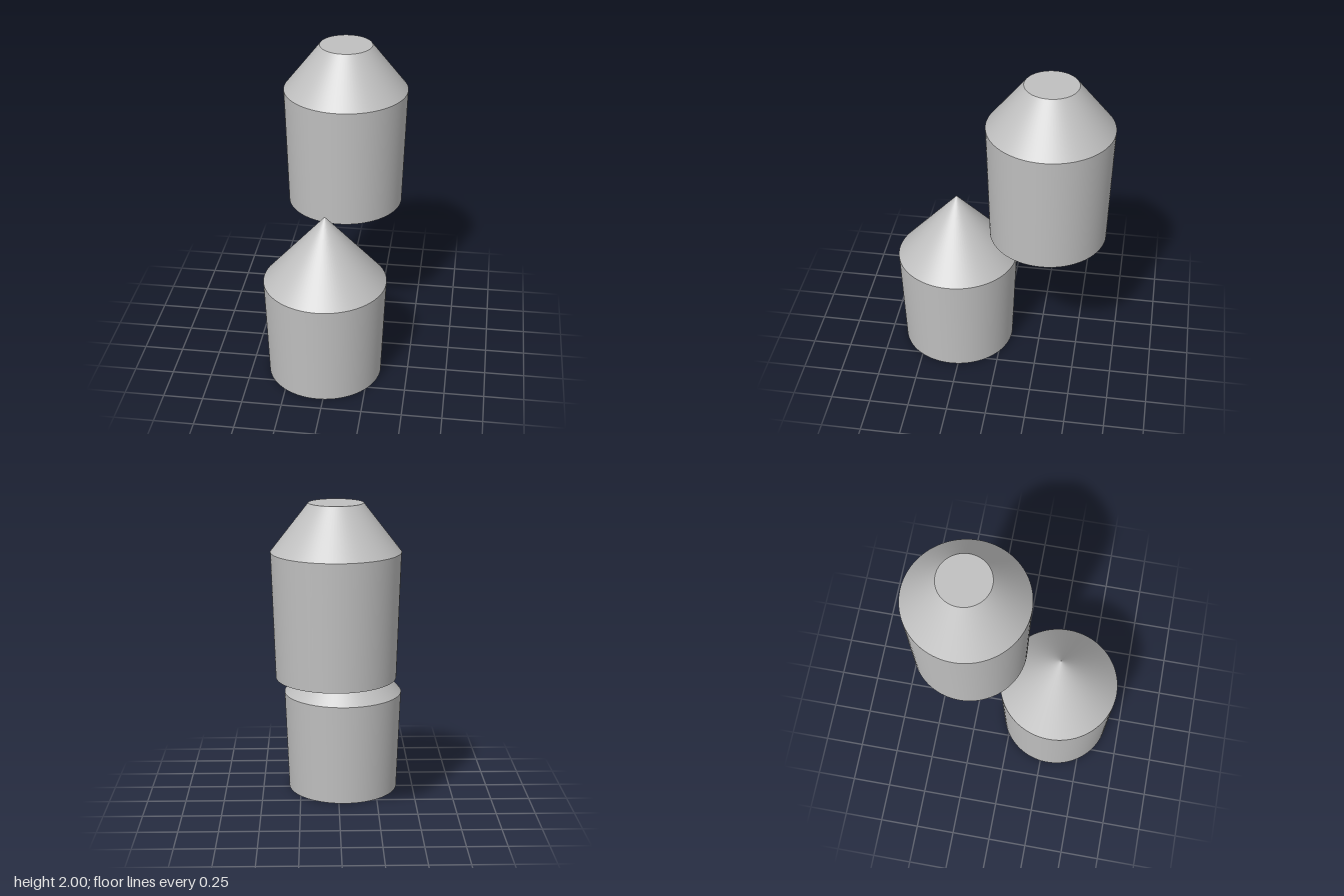
import * as THREE from 'three';

const SEGMENTS = 96;

// Tapered drum with a conical roof; a roof radius of 0 gives a pointed tip
function makeCanister(name, material, { x, z, base, shoulder, top, baseR, shoulderR, topR }) {
  const group = new THREE.Group();
  group.name = name;
  group.position.set(x, 0, z);

  // A section from y0 to y1 with one flat end cap, so no hidden faces remain inside
  const addSection = (part, r0, r1, y0, y1, capY, capR, facing) => {
    const side = new THREE.Mesh(
      new THREE.CylinderGeometry(r1, r0, y1 - y0, SEGMENTS, 1, true), material);
    side.name = part;
    side.position.y = (y0 + y1) / 2;
    group.add(side);
    if (capR > 0) {
      const cap = new THREE.Mesh(new THREE.CircleGeometry(capR, SEGMENTS), material);
      cap.name = part + 'Cap';
      cap.rotation.x = -facing * Math.PI / 2;
      cap.position.y = capY;
      group.add(cap);
    }
  };

  addSection('body', baseR, shoulderR, base, shoulder, base, baseR, -1);
  addSection('roof', shoulderR, topR, shoulder, top, top, topR, 1);
  return group;
}

export function createModel() {
  const model = new THREE.Group();
  model.name = 'canisters';
  const grey = new THREE.MeshStandardMaterial({ color: 0xc0c0c0 });
  grey.name = 'light grey';

  // Lower front piece with a sharp tip
  model.add(makeCanister('pointedCanister', grey, {
    x: -0.033, z: 0.299, base: 0, shoulder: 0.662, top: 1.11,
    baseR: 0.361, shoulderR: 0.386, topR: 0,
  }));

  // Raised rear piece with a flat top
  model.add(makeCanister('flatToppedCanister', grey, {
    x: 0.022, z: -0.295, base: 0.935, shoulder: 1.709, top: 2,
    baseR: 0.368, shoulderR: 0.392, topR: 0.165,
  }));

  return model;
}
